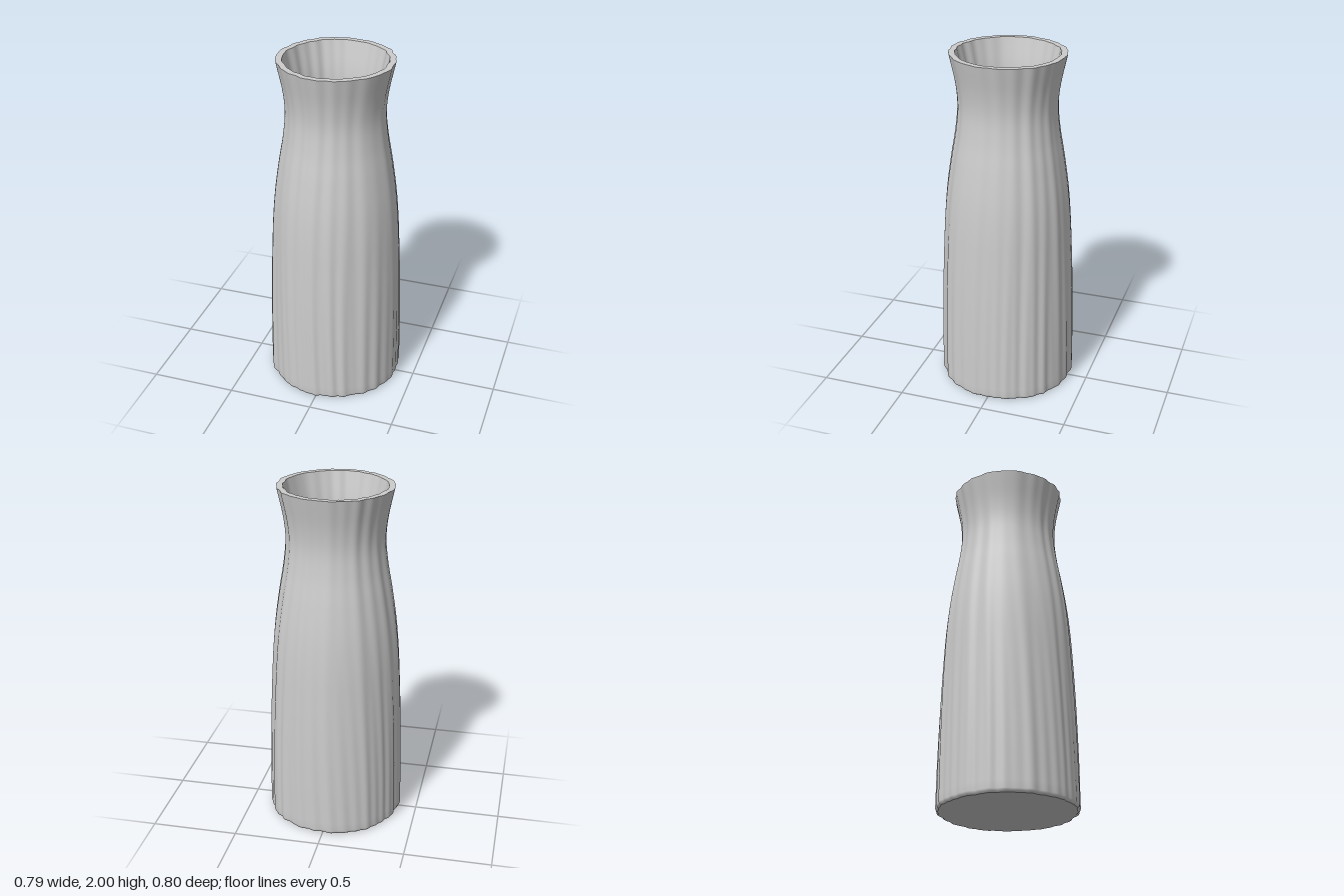
import * as THREE from 'three';
import { mergeVertices } from 'three/addons/utils/BufferGeometryUtils.js';

const HEIGHT = 2, WALL = 0.035, FLOOR = 0.06, STEPS = 60, SEGMENTS = 240;

// Outer silhouette: [radius, height]
const silhouette = [
  [0.393, 0.02], [0.39, 0.3], [0.383, 0.6], [0.373, 0.85], [0.362, 1.05], [0.346, 1.22],
  [0.32, 1.4], [0.293, 1.56], [0.28, 1.7], [0.289, 1.82], [0.325, 2],
];
const curve = new THREE.CatmullRomCurve3(silhouette.map(([r, y]) => new THREE.Vector3(r, y, 0)));

// Irregular vertical folds that lean gently and get finer towards the foot
function ripple(angle, y) {
  const a = angle + 0.05 * Math.sin(1.6 * y + 2 * Math.sin(angle));
  const low = THREE.MathUtils.smoothstep(HEIGHT - y, 0.6, 1.9);
  return 0.010 * Math.cos(23 * a + 1.4 * Math.sin(2 * a)) * (0.6 + 0.4 * Math.sin(3 * a + y))
    + 0.006 * Math.cos(13 * a + 1 + 0.4 * y)
    + 0.006 * Math.cos(5 * a + 0.7)
    + low * 0.006 * Math.cos(37 * a + 2 * Math.sin(3 * a) + y);
}

// Revolve a profile, fold it, and weld the seam for smooth normals
function foldedLathe(points, name, material) {
  const geometry = new THREE.LatheGeometry(points, SEGMENTS);
  const p = geometry.attributes.position;
  for (let i = 0; i < p.count; i++) {
    const x = p.getX(i), y = p.getY(i), z = p.getZ(i);
    const k = 1 + ripple(Math.atan2(x, z), y);
    p.setXYZ(i, x * k, y, z * k);
  }
  geometry.deleteAttribute('uv');
  geometry.deleteAttribute('normal');
  const welded = mergeVertices(geometry, 1e-5);
  welded.computeVertexNormals();
  const mesh = new THREE.Mesh(welded, material);
  mesh.name = name;
  return mesh;
}

export function createModel() {
  const ceramic = new THREE.MeshStandardMaterial({ color: 0xcccccc });
  ceramic.name = 'pale grey ceramic';

  const samples = curve.getPoints(STEPS).map((v) => new THREE.Vector2(v.x, v.y));
  const outer = [new THREE.Vector2(0.38, 0), new THREE.Vector2(0.389, 0.007), ...samples];
  const inner = samples.filter((v) => v.y > FLOOR)
    .map((v) => new THREE.Vector2(v.x - WALL, v.y)).reverse();
  inner.push(new THREE.Vector2(inner[inner.length - 1].x, FLOOR));

  const vase = new THREE.Group();
  vase.name = 'vase';
  vase.add(
    foldedLathe(outer, 'outerWall', ceramic),
    foldedLathe([samples[STEPS], inner[0]], 'rim', ceramic),
    foldedLathe(inner, 'innerWall', ceramic),
    foldedLathe([inner[inner.length - 1], new THREE.Vector2(0, FLOOR)], 'innerFloor', ceramic),
    foldedLathe([new THREE.Vector2(0, 0), outer[0]], 'base', ceramic),
  );
  return vase;
}
